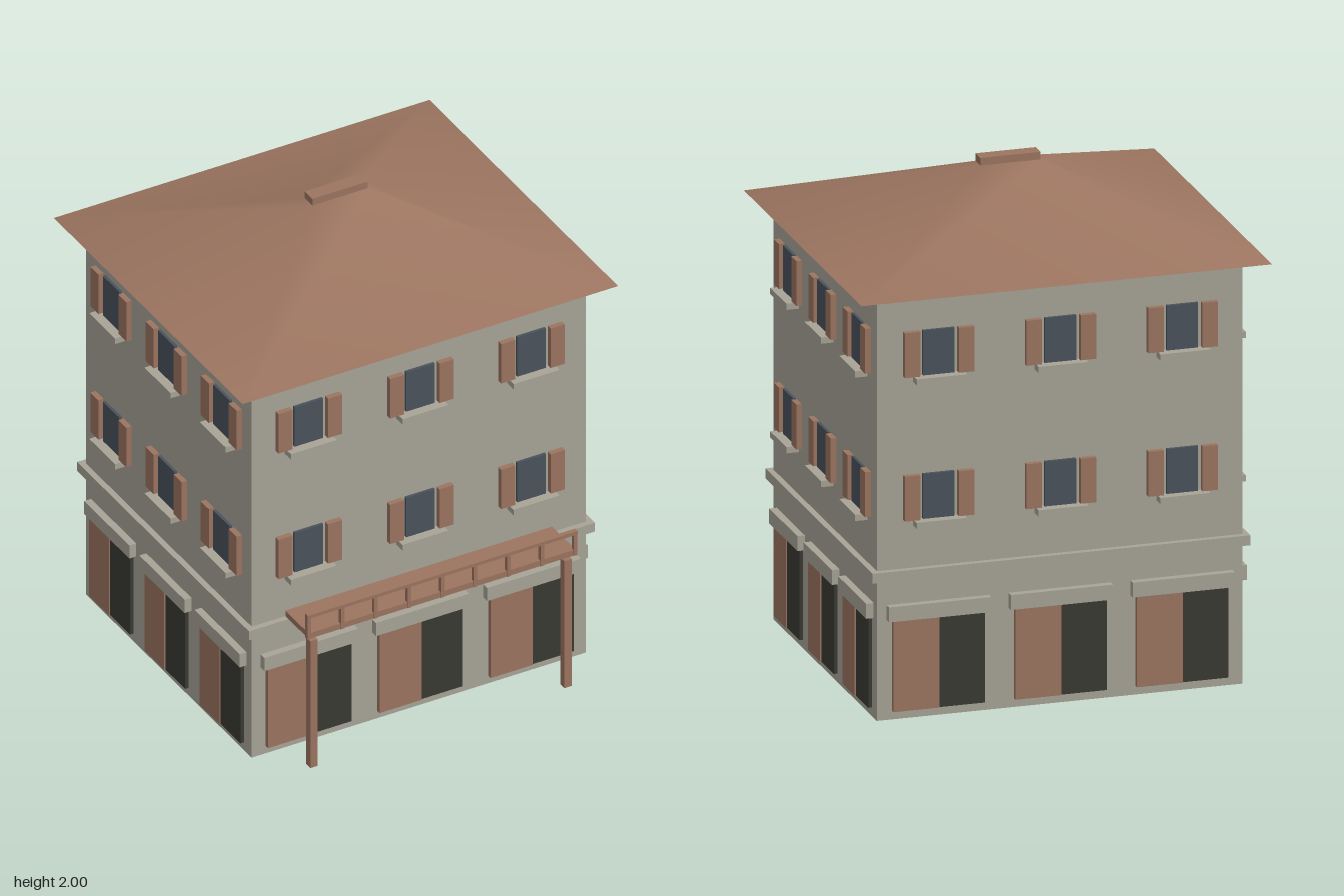
import * as THREE from 'three';

const material = (name, color) => {
  const m = new THREE.MeshStandardMaterial({ color });
  m.name = name;
  return m;
};

export function createModel() {
  const stone = material('stone', 0xa8a497);
  const brown = material('brown', 0x9c7560);
  const dark = material('darkOpening', 0x3a3a33);
  const glass = material('glass', 0x4a535c);

  const W = 1.46, D = 1.28, H = 1.7, ZC = -0.05; // wall block size and z centre

  // Box given by its minimum and maximum corners
  function box(parent, name, mat, [x0, y0, z0], [x1, y1, z1]) {
    const mesh = new THREE.Mesh(new THREE.BoxGeometry(x1 - x0, y1 - y0, z1 - z0), mat);
    mesh.position.set((x0 + x1) / 2, (y0 + y1) / 2, (z0 + z1) / 2);
    mesh.name = name;
    parent.add(mesh);
    return mesh;
  }

  const model = new THREE.Group();
  model.name = 'house';
  const building = new THREE.Group();
  building.name = 'building';
  building.position.z = ZC;
  model.add(building);

  // Wall block and the band between the floors
  box(building, 'walls', stone, [-W / 2, 0, -D / 2], [W / 2, H, D / 2]);
  const b = 0.025;
  box(building, 'cornice', stone, [-W / 2 - b, 0.56, -D / 2 - b], [W / 2 + b, 0.6, D / 2 + b]);

  // Window with shutters and sill, standing on the wall plane z = 0
  function addWindow(parent, x, y) {
    const g = new THREE.Group();
    g.name = 'window';
    g.position.set(x, y, 0);
    box(g, 'windowPane', glass, [-0.0625, 0, -0.01], [0.0625, 0.18, 0.012]);
    for (const s of [-1, 1]) {
      box(g, 'shutter', brown, [s * 0.108 - 0.031, 0, -0.01], [s * 0.108 + 0.031, 0.18, 0.023]);
    }
    box(g, 'sill', stone, [-0.1, -0.025, -0.01], [0.1, 0, 0.05]);
    parent.add(g);
  }

  // Ground floor opening: door leaf on the left, dark gap on the right, lintel above
  function addDoor(parent, x, width) {
    const g = new THREE.Group();
    g.name = 'door';
    g.position.x = x;
    const h = width / 2, l = h + 0.021;
    box(g, 'doorLeaf', brown, [-h, 0.035, -0.01], [0, 0.4, 0.02]);
    box(g, 'doorOpening', dark, [0, 0.035, -0.01], [h, 0.4, 0.015]);
    box(g, 'lintel', stone, [-l, 0.4, -0.01], [l, 0.46, 0.03]);
    parent.add(g);
  }

  // Four facades with three bays each
  const names = ['frontFacade', 'leftFacade', 'backFacade', 'rightFacade'];
  names.forEach((name, i) => {
    const [width, depth] = i % 2 ? [D, W] : [W, D];
    const turn = new THREE.Group();
    turn.name = name;
    turn.rotation.y = (i * Math.PI) / 2;
    const facade = new THREE.Group();
    facade.position.z = depth / 2;
    turn.add(facade);
    for (const k of [-1, 0, 1]) {
      const x = (k * width) / 3;
      addDoor(facade, x, width / 3 - 0.12);
      for (const y of [0.795, 1.37]) addWindow(facade, x, y);
    }
    building.add(turn);
  });

  // Hipped roof: smooth slopes from the eaves ring to the ridge ring, flat underside
  const ring = (x, y, z) => [-x, y, z, x, y, z, x, y, -z, -x, y, -z];
  function surface(name, points, index) {
    const geo = new THREE.BufferGeometry();
    geo.setAttribute('position', new THREE.Float32BufferAttribute(points, 3));
    geo.setIndex(index);
    geo.computeVertexNormals();
    const mesh = new THREE.Mesh(geo, brown);
    mesh.name = name;
    building.add(mesh);
  }
  const ex = W / 2 + 0.09, ez = D / 2 + 0.09;
  const slopes = [4, 5, 6, 4, 6, 7];
  for (let i = 0; i < 4; i++) {
    const j = (i + 1) % 4;
    slopes.push(i, j, j + 4, i, j + 4, i + 4);
  }
  surface('roof', [...ring(ex, H, ez), ...ring(0.12, 1.97, 0.03)], slopes);
  surface('roofUnderside', ring(ex, H, ez), [2, 1, 0, 3, 2, 0]);
  box(building, 'ridgeCap', brown, [-0.12, 1.965, -0.03], [0.12, 2, 0.03]);

  // Balcony with railing, carried on two posts
  const balcony = new THREE.Group();
  balcony.name = 'balcony';
  model.add(balcony);
  box(balcony, 'balconyFloor', brown, [-0.583, 0.6, 0.58], [0.583, 0.625, 0.77]);
  box(balcony, 'handrail', brown, [-0.59, 0.695, 0.755], [0.59, 0.71, 0.775]);
  for (let i = 0; i <= 8; i++) {
    const x = -0.582 + i * 0.1455;
    box(balcony, 'baluster', brown, [x - 0.0075, 0.6, 0.756], [x + 0.0075, 0.7, 0.774]);
  }
  for (const x of [-0.555, 0.555]) {
    box(balcony, 'post', brown, [x - 0.016, 0, 0.73], [x + 0.016, 0.58, 0.762]);
  }

  return model;
}
